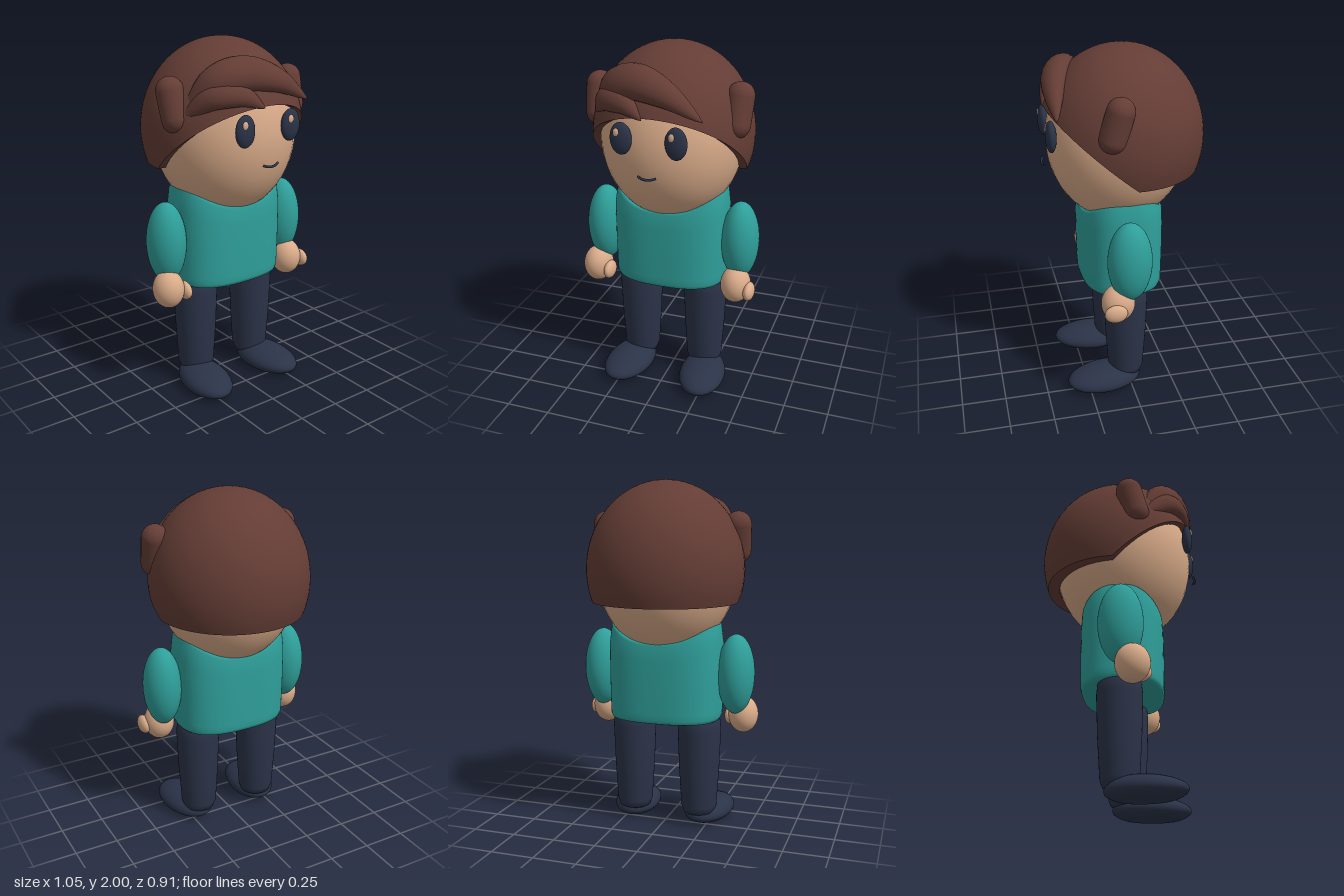
import * as THREE from 'three';

const mat = (name, color) => {
  const m = new THREE.MeshStandardMaterial({ color });
  m.name = name;
  return m;
};
const V = (x, y, z) => new THREE.Vector3(x, y, z);

// Smooth skin over closed rings of points; rings run counterclockwise around the travel direction
function loft(rings) {
  const n = rings[0].length, pos = [], idx = [];
  rings.forEach(r => r.forEach(p => pos.push(p.x, p.y, p.z)));
  for (let r = 0; r < rings.length - 1; r++) {
    for (let i = 0; i < n; i++) {
      const j = (i + 1) % n, a = r * n + i, b = r * n + j;
      idx.push(a, b, b + n, a, b + n, a + n);
    }
  }
  const g = new THREE.BufferGeometry();
  g.setAttribute('position', new THREE.Float32BufferAttribute(pos, 3));
  g.setIndex(idx);
  g.computeVertexNormals();
  return g;
}
const ring = (n, f) => Array.from({ length: n }, (_, i) => f((i / n) * Math.PI * 2));

// Hair cap: ellipsoid trimmed by a hairline that rises toward the forehead
const HC = V(0, 1.5, 0), HR = V(0.45, 0.5, 0.455);
const hairPoint = (a, t, s = 1) => V(
  HR.x * s * Math.sin(t) * Math.sin(a), HC.y + HR.y * s * Math.cos(t), HR.z * s * Math.sin(t) * Math.cos(a));
function hairEdge(a) {
  let lo = 0, hi = 2.2;
  for (let k = 0; k < 30; k++) {
    const mid = (lo + hi) / 2, p = hairPoint(a, mid);
    if (p.y > 1.32 + 0.85 * Math.max(0, p.z)) lo = mid; else hi = mid;
  }
  return lo;
}

// Tapered lock of hair lying along the cap
function lock(points, width, height) {
  const curve = new THREE.CatmullRomCurve3(points.map(p => V(...p)));
  const rings = [];
  for (let k = 0; k <= 28; k++) {
    const t = k / 28, c = curve.getPoint(t), T = curve.getTangent(t);
    const N = c.clone().sub(HC).divide(HR).divide(HR).normalize();
    const S = N.clone().cross(T).normalize();
    const w = Math.pow(Math.max(0, Math.sin(Math.PI * (0.1 + 0.9 * t))), 0.8);
    rings.push(ring(20, a => c.clone()
      .addScaledVector(S, width * w * Math.cos(a)).addScaledVector(N, height * w * Math.sin(a))));
  }
  return loft(rings);
}

export function createModel() {
  const root = new THREE.Group();
  root.name = 'figure';
  const hair = mat('brown hair', 0x643d35);
  const skin = mat('skin', 0xd9ab89);
  const shirt = mat('teal shirt', 0x2f9f9a);
  const navy = mat('navy', 0x2b3348);

  const add = (name, geo, material, parent = root) => {
    const m = new THREE.Mesh(geo, material);
    m.name = name;
    parent.add(m);
    return m;
  };
  const ball = (name, material, c, r) => {
    const m = add(name, new THREE.SphereGeometry(1, 40, 28), material);
    m.position.set(...c);
    m.scale.set(...r);
    return m;
  };

  // Head and face
  ball('head', skin, [0, 1.49, 0.02], [0.4, 0.475, 0.4]);
  for (const [side, s] of [['left', 1], ['right', -1]]) {
    ball(side + 'Eye', navy, [s * 0.15, 1.562, 0.412], [0.06, 0.087, 0.03]);
    ball(side + 'EyeGlint', skin, [s * 0.15 - 0.016, 1.597, 0.434], [0.017, 0.023, 0.009]);
  }
  const smile = new THREE.QuadraticBezierCurve3(V(-0.05, 1.374, 0.435), V(0, 1.352, 0.459), V(0.05, 1.374, 0.435));
  add('mouth', new THREE.TubeGeometry(smile, 16, 0.007, 8), navy);

  // Hair
  const capRings = [];
  for (let k = 24; k >= 0; k--) capRings.push(ring(72, a => hairPoint(a, hairEdge(a) * Math.max(k / 24, 0.0005))));
  add('hairCap', loft(capRings), hair);
  const rim = [0.84, 1].map(s => ring(72, a => {
    const t = hairEdge(a), p = hairPoint(a, t);
    return V(p.x * s, p.y, p.z * s);
  }));
  add('hairRim', loft(rim), hair);
  add('largeFringe', lock(
    [[-0.33, 1.7, 0.2], [-0.24, 1.8, 0.27], [-0.1, 1.84, 0.325], [0.08, 1.8, 0.375], [0.285, 1.68, 0.395]], 0.1, 0.08), hair);
  add('smallFringe', lock(
    [[-0.36, 1.64, 0.2], [-0.27, 1.735, 0.305], [-0.15, 1.74, 0.375], [-0.03, 1.67, 0.425]], 0.07, 0.055), hair);
  for (const [side, s] of [['left', 1], ['right', -1]]) {
    const tuft = add(side + 'HairTuft', new THREE.CapsuleGeometry(0.075, 0.15, 12, 28), hair);
    tuft.position.set(s * 0.392, 1.68, 0.112);
    tuft.rotation.set(-0.26, 0, -s * 0.06);
  }

  // Shirt body: rounded box section, high at the shoulders and dipping front and back
  const levels = [[0, 0.64], [0.9, 0.64], [0.96, 0.645], [0.985, 0.665], [0.99, 0.7], [1, 0.85], [1, 1], [0.985, 1.09], [0.93, 1.1], [0, 1.1]];
  const sup = v => Math.sign(v) * Math.pow(Math.abs(v), 0.76);
  add('shirtBody', loft(levels.map(([s, y], k) => ring(64, a => {
    const rise = k > 4 ? Math.pow(Math.sin(a), 2) * 0.11 * (y - 0.7) / 0.4 : 0;
    const narrow = k > 6 ? 0.95 : 0.98;
    return V(sup(Math.sin(a)) * 0.335 * s * narrow, y + rise, 0.02 + sup(Math.cos(a)) * 0.235 * s);
  }))), shirt);

  // Arms and legs
  const legProfile = [[0, 0.06], [0.06, 0.063], [0.09, 0.08], [0.104, 0.12], [0.118, 0.35], [0.126, 0.58], [0.12, 0.64], [0.1, 0.665], [0, 0.67]]
    .map(p => new THREE.Vector2(...p));
  for (const [side, s] of [['left', 1], ['right', -1]]) {
    ball(side + 'Sleeve', shirt, [s * 0.407, 0.91, 0.045], [0.107, 0.23, 0.123]);
    const hx = s > 0 ? 0.405 : -0.44;
    ball(side + 'Hand', skin, [hx, 0.663, 0.11], [0.086, 0.107, 0.094]);
    ball(side + 'Thumb', skin, [hx + 0.085, 0.645, 0.14], [0.032, 0.052, 0.064]);

    const leg = add(side + 'Leg', new THREE.LatheGeometry(legProfile, 40), navy);
    leg.position.set(s * 0.2, 0, 0.02);

    // Shoe: flattened sole, higher over the heel than at the toe
    const g = new THREE.SphereGeometry(1, 40, 28), p = g.attributes.position;
    for (let i = 0; i < p.count; i++) {
      const y = p.getY(i), z = p.getZ(i);
      const h = y > 0 ? y * (0.08 - 0.012 * z) : Math.max(y, -0.75) * 0.067;
      p.setXYZ(i, p.getX(i) * 0.134, 0.055 + h, z * 0.22);
    }
    g.computeVertexNormals();
    const shoe = add(side + 'Shoe', g, navy);
    shoe.position.set(s * 0.23, 0, 0.157);
    shoe.rotation.y = s * 0.12;
  }
  return root;
}
